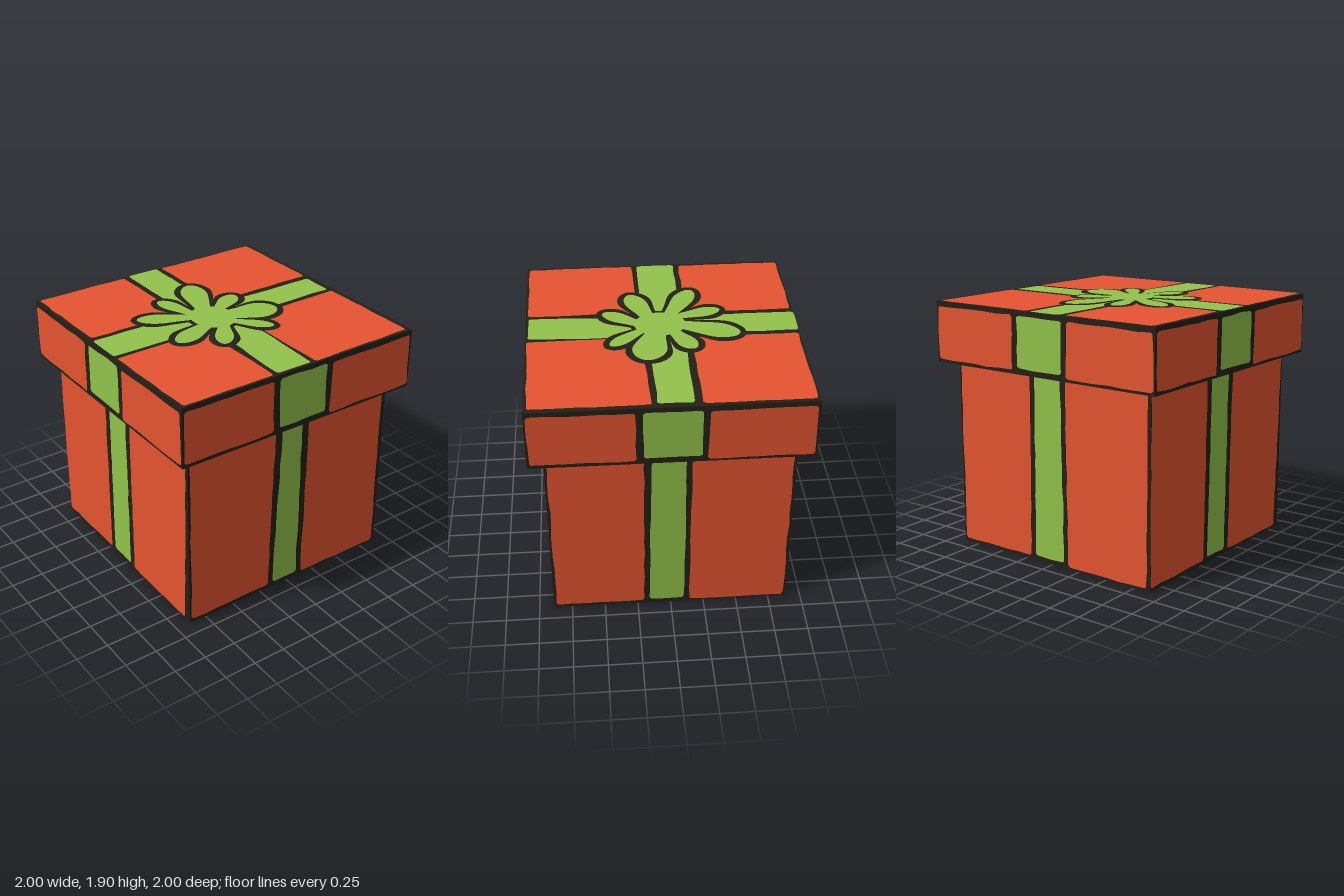
import * as THREE from 'three';

const mat = (name, color) => {
  const m = new THREE.MeshStandardMaterial({ color });
  m.name = name;
  return m;
};

export function createModel() {
  const outline = mat('dark outline', 0x222016);
  const red = mat('red paper', 0xe65431);
  const green = mat('green ribbon', 0x92c34a);
  const gift = new THREE.Group();
  gift.name = 'giftBox';

  let seed = 7;
  const rand = () => (seed = (seed * 16807) % 2147483647) / 2147483647 - 0.5;

  const box = (name, w, h, y) => {
    const m = new THREE.Mesh(new THREE.BoxGeometry(w, h, w), outline);
    m.name = name;
    m.position.y = y + h / 2;
    gift.add(m);
  };
  box('body', 1.776, 1.43, 0);
  box('lid', 1.994, 0.46, 1.43);

  // A flat painted layer, in the plane of its face
  const layer = (face, name, points, material, z = 0) => {
    const m = new THREE.Mesh(new THREE.ShapeGeometry(new THREE.Shape(points)), material);
    m.name = name;
    m.position.z = z;
    face.add(m);
  };

  // A four-cornered patch with cut corners and slightly hand-drawn edges
  const patch = (face, name, corners, material) => {
    const c = corners.map(([x, y]) => new THREE.Vector2(x, y));
    const pts = [];
    c.forEach((a, i) => {
      const b = c[(i + 1) % 4], len = a.distanceTo(b);
      const normal = new THREE.Vector2(a.y - b.y, b.x - a.x).divideScalar(len);
      const n = Math.max(1, Math.round(len / 0.12)), cut = 0.015 / len;
      for (let k = 0; k <= n; k++) {
        const t = cut + (1 - 2 * cut) * k / n;
        pts.push(a.clone().lerp(b, t).addScaledVector(normal, rand() * 0.01));
      }
    });
    layer(face, name, pts, material);
  };
  // Patch given by its left and right edges at the bottom and at the top
  const strip = (face, name, [l0, r0, l1, r1], y0, y1, material) =>
    patch(face, name, [[l0, y0], [r0, y0], [r1, y1], [l1, y1]], material);

  const sideFace = (name, turn, distance) => {
    const pivot = new THREE.Group(), face = new THREE.Group();
    pivot.name = name;
    pivot.rotation.y = turn;
    face.position.z = distance;
    pivot.add(face);
    gift.add(pivot);
    return face;
  };
  const flatFace = (name, y, up) => {
    const face = new THREE.Group();
    face.name = name;
    face.rotation.x = up ? -Math.PI / 2 : Math.PI / 2;
    face.position.y = y;
    gift.add(face);
    return face;
  };

  // Sides: [name, turn, left paper, ribbon, right paper]
  const sides = [
    ['front', 0, [-.885, -.21, -.885, -.195], [-.165, .07, -.135, .09], [.125, .83, .145, .87]],
    ['right', Math.PI / 2, [-.87, -.18, -.875, -.14], [-.135, .09, -.08, .1], [.135, .86, .155, .855]],
    ['back', Math.PI, [-.87, -.2, -.87, -.19], [-.16, .1, -.14, .11], [.14, .865, .15, .87]],
    ['left', -Math.PI / 2, [-.87, -.2, -.87, -.18], [-.155, .12, -.14, .1], [.16, .86, .145, .865]],
  ];
  for (const [name, turn, a, b, c] of sides) {
    const body = sideFace(name + 'BodyFace', turn, 0.891);
    strip(body, 'leftPaper', a, 0.03, 1.42, red);
    strip(body, 'ribbon', b, 0.04, 1.42, green);
    strip(body, 'rightPaper', c, 0.02, 1.415, red);
    const lid = sideFace(name + 'LidFace', turn, 1);
    strip(lid, 'leftPaper', [-.98, -.25, -.98, -.25], 1.455, 1.855, red);
    strip(lid, 'ribbon', [-.2, .205, -.2, .205], 1.475, 1.855, green);
    strip(lid, 'rightPaper', [.245, .985, .255, .98], 1.45, 1.85, red);
  }

  // Lid top: four paper squares and the crossed ribbon
  const top = flatFace('lidTop', 1.893, true);
  strip(top, 'paper', [-.985, -.2, -.98, -.21], .125, .965, red);
  strip(top, 'paper', [.17, .985, .135, .975], .11, .96, red);
  strip(top, 'paper', [-.985, -.2, -.985, -.2], -.97, -.23, red);
  strip(top, 'paper', [.17, .98, .165, .98], -.975, -.245, red);
  strip(top, 'ribbon', [-.155, .1, -.155, .1], .1, .95, green);
  strip(top, 'ribbon', [-.155, .135, -.155, .14], -.98, -.1, green);
  strip(top, 'ribbon', [-.995, -.2, -.995, -.2], -.18, .08, green);
  patch(top, 'ribbon', [[.2, -.175], [.98, -.21], [.98, .08], [.2, .1]], green);

  // Bow: teardrop loops around a hub, each over a wider dark shape
  const petal = ([x0, z0, x1, z1, width], grow) => {
    const root = new THREE.Vector2(x0, -z0), dir = new THREE.Vector2(x1 - x0, z0 - z1);
    const len = dir.length() + grow, w = width / 2 + grow, angle = dir.angle();
    const half = [[0, .45], [.3, .75], [.65, 1], [.9, .66]];
    const pts = [...half.map(([u, v]) => [u, -v]), [1, 0], ...half.reverse()]
      .map(([u, v]) => new THREE.Vector2(u * len, v * w).rotateAround(new THREE.Vector2(), angle).add(root));
    return new THREE.SplineCurve([...pts, pts[0]]).getPoints(48).slice(0, -1);
  };
  const hub = (grow) => new THREE.EllipseCurve(.01, -.065, .19 + grow, .165 + grow).getPoints(40).slice(0, -1);
  // Root x and z, tip x and z, width
  const loops = [
    [.04, -.02, .145, -.42, .25], [.13, 0, .385, -.215, .115],
    [.14, .06, .425, .25, .135], [.08, .14, .22, .51, .165],
    [-.06, .17, -.26, .555, .16], [-.12, .16, -.45, .25, .13],
    [-.12, .05, -.565, -.105, .2], [-.07, -.03, -.22, -.29, .145],
  ];
  layer(top, 'bowHubOutline', hub(.03), outline, .003);
  layer(top, 'bowHub', hub(0), green, .006);
  for (const p of loops) {
    layer(top, 'bowLoopOutline', petal(p, .045), outline, .003);
    layer(top, 'bowLoop', petal(p, 0), green, .006);
  }

  // Underside of the box with its crossed ribbon
  const base = flatFace('bodyBottom', -0.002, false);
  strip(base, 'ribbon', [-.11, .16, -.11, .16], -.88, .88, green);
  strip(base, 'ribbon', [.24, .8, .24, .8], -.16, .05, green);
  strip(base, 'ribbon', [-.86, -.19, -.86, -.19], -.14, .09, green);
  for (const [x0, x1] of [[-.88, -.17], [.22, .88]]) {
    strip(base, 'paper', [x0, x1, x0, x1], -.88, -.21, red);
    strip(base, 'paper', [x0, x1, x0, x1], .15, .88, red);
  }

  // Rim under the lid
  const rim = flatFace('lidRim', 1.427, false);
  for (const s of [-1, 1]) {
    const a = s * .935 - .04, b = s * .935 + .04;
    strip(rim, 'rimPaper', [a, b, a, b], -.87, .97, red);
    strip(rim, 'rimPaper', [-.7, .87, -.7, .87], s * .93 - .025, s * .93 + .025, red);
  }
  strip(rim, 'rimRibbon', [-.88, -.74, -.88, -.74], -.98, -.9, green);

  return gift;
}
